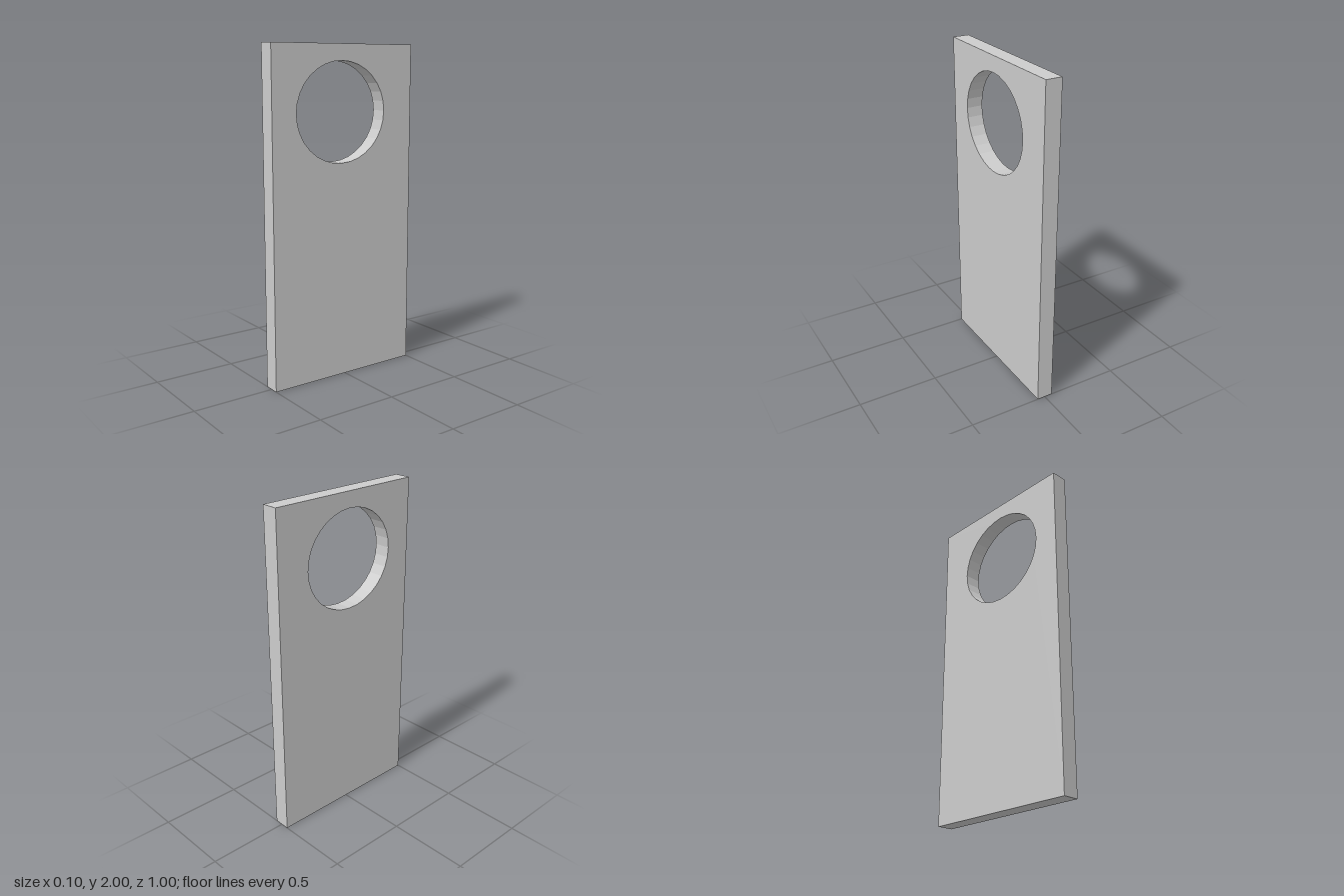
import * as THREE from 'three';

export function createModel() {
  const model = new THREE.Group();
  const thickness = 0.1;

  // Panel outline, drawn with shape x as the model's z
  const outline = new THREE.Shape();
  outline.moveTo(-0.5, 0);
  outline.lineTo(0.5, 0);
  outline.lineTo(0.5, 2);
  outline.lineTo(-0.5, 2);
  outline.closePath();

  // Slightly off-centre oval opening near the top
  const opening = new THREE.Path();
  opening.absellipse(0.025, 1.607, 0.315, 0.297, 0, Math.PI * 2, true);
  outline.holes.push(opening);

  const geometry = new THREE.ExtrudeGeometry(outline, {
    depth: thickness,
    bevelEnabled: false,
    curveSegments: 16,
  });
  geometry.translate(0, 0, -thickness / 2);
  geometry.rotateY(-Math.PI / 2);

  const panel = new THREE.Mesh(
    geometry,
    new THREE.MeshStandardMaterial({ color: 0xcccccc, flatShading: true })
  );
  panel.name = 'panelWithOpening';
  model.add(panel);
  return model;
}
